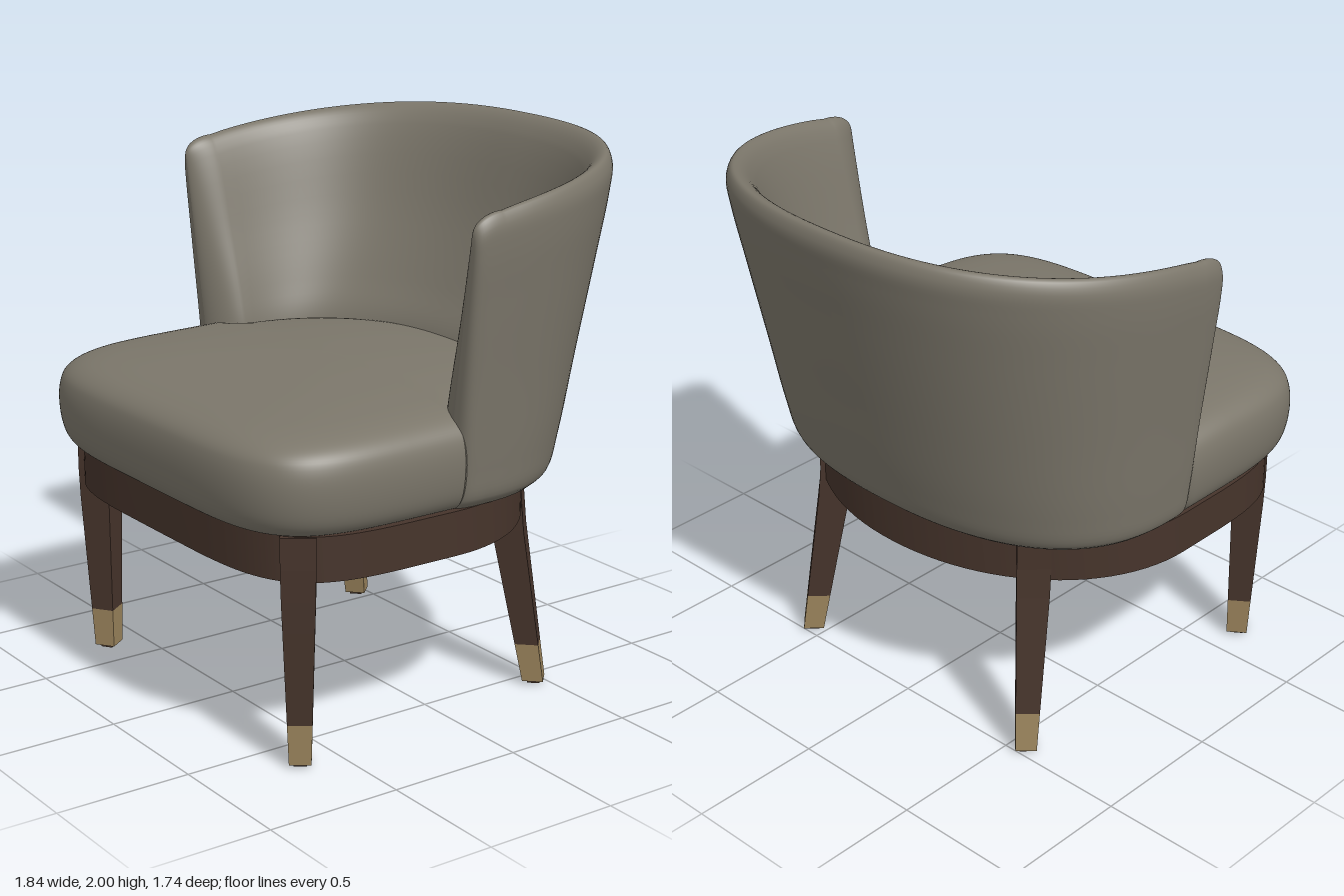
import * as THREE from 'three';
import { toCreasedNormals } from 'three/addons/utils/BufferGeometryUtils.js';

const fabric = new THREE.MeshStandardMaterial({ name: 'taupe fabric', color: 0x7b766a });
const wood = new THREE.MeshStandardMaterial({ name: 'dark wood', color: 0x46342b });
const brass = new THREE.MeshStandardMaterial({ name: 'brass', color: 0x9a835c });
const { lerp, clamp, smoothstep } = THREE.MathUtils;

const spow = (v, p) => Math.sign(v) * Math.pow(Math.abs(v), p);

function addMesh(parent, name, geometry, material) {
  const mesh = new THREE.Mesh(geometry, material);
  mesh.name = name;
  parent.add(mesh);
  return mesh;
}

// Smooth surface through rows of [x, y, z] points of equal length
function loft(rows) {
  const n = rows[0].length, index = [];
  for (let i = 0; i < rows.length - 1; i++) {
    for (let j = 0; j < n - 1; j++) {
      const a = i * n + j, b = a + n;
      index.push(a, b, a + 1, b, b + 1, a + 1);
    }
  }
  const g = new THREE.BufferGeometry();
  g.setAttribute('position', new THREE.Float32BufferAttribute(rows.flat(2), 3));
  g.setIndex(index);
  g.computeVertexNormals();
  return g;
}

// Plan outline: squarish front half, round back half, each [half width, depth, exponent]
function outline(t, front, back) {
  const c = Math.cos(t), s = Math.sin(t);
  const [a, b, n] = s >= 0 ? front : back;
  const width = s >= 0 ? a : lerp(front[0], a, Math.min(1, -s * 8));
  return [width * spow(c, 2 / n), b * spow(s, 2 / n)];
}

// Cushion: stacked outlines closing to a gentle crown that falls towards the front
function seatGeometry() {
  const profile = new THREE.CatmullRomCurve3([
    [0.9, 0.84], [0.945, 0.85], [0.98, 0.89], [1, 0.97], [0.998, 1.06], [0.975, 1.118],
    [0.93, 1.156], [0.85, 1.183], [0.65, 1.207], [0.35, 1.223], [0, 1.23],
  ].map(([s, y]) => new THREE.Vector3(s, y, 0))).getPoints(50);
  return loft(profile.map((p) => {
    const row = [];
    const tilt = 0.03 * Math.max(0, (p.y - 1.1) / 0.13);
    for (let k = 0; k <= 128; k++) {
      const [x, dz] = outline((k / 128) * Math.PI * 2, [0.84, 0.77, 4.9], [0.75, 0.68, 2.2]);
      const z = 0.1 + dz * p.x;
      row.push([x * p.x, p.y - tilt * z, z]);
    }
    return row;
  }));
}

// Wraparound back: a closed wall section (half width, depth, height) swept around the plan
function backGeometry() {
  const section = new THREE.CatmullRomCurve3([
    [0.79, 0.56, 0.84], [0.825, 0.605, 0.88], [0.842, 0.645, 1.0], [0.867, 0.72, 1.3],
    [0.9, 0.805, 1.65], [0.918, 0.855, 1.86], [0.916, 0.87, 1.95], [0.895, 0.852, 1.995],
    [0.865, 0.815, 1.985], [0.83, 0.765, 1.92], [0.745, 0.65, 1.6], [0.68, 0.525, 1.35],
    [0.65, 0.435, 1.2], [0.64, 0.41, 1.05], [0.64, 0.41, 0.84],
  ].map((p) => new THREE.Vector3(...p))).getPoints(70);
  section.push(section[0]);

  const n = 2.4;
  const station = (phi, ext) => {
    const sin = Math.max(0, Math.sin(phi));
    const drop = 0.07 * (1 - Math.sqrt(Math.max(0, 1 - ext * ext)));
    const rim = 1.88 + 0.12 * Math.pow(sin, 0.72) - drop;
    return section.map((p, j) => {
      // tight rounding on the outer edge, generous rounding inside
      const inside = smoothstep((j % (section.length - 1)) / section.length, 0.4, 0.65);
      const e = lerp(3.5, 1.6, inside);
      const k = Math.pow(Math.max(0, 1 - Math.pow(ext, e)), 1 / e);
      const a = lerp(0.73 + 0.13 * (p.z - 0.84), p.x, k);
      const y = 0.84 + (p.z - 0.84) * (rim - 0.84) / 1.16;
      const reach = 0.1 + 0.015 * (p.z - 0.84);
      return [a * spow(Math.cos(phi), 2 / n), y, ext * reach - p.y * Math.pow(sin, 2 / n)];
    });
  };
  const rows = [];
  // rounded arm tips at both ends of the sweep
  for (let i = 0; i < 14; i++) rows.push(station(0, Math.cos((i / 14) * Math.PI / 2)));
  for (let i = 0; i <= 72; i++) rows.push(station((i / 72) * Math.PI, 0));
  for (let i = 1; i <= 14; i++) rows.push(station(Math.PI, Math.sin((i / 14) * Math.PI / 2)));
  return loft(rows);
}

// Base rail under the cushion
function railGeometry() {
  const pts = [];
  for (let k = 0; k < 96; k++) {
    const [x, z] = outline((k / 96) * Math.PI * 2, [0.8, 0.7, 4.5], [0.8, 0.66, 2.05]);
    pts.push(new THREE.Vector2(x, -(z + 0.1)));
  }
  const g = new THREE.ExtrudeGeometry(new THREE.Shape(pts), { depth: 0.16, bevelEnabled: false });
  g.rotateX(-Math.PI / 2).translate(0, 0.68, 0);
  return toCreasedNormals(g, 0.6);
}

// Slice of a tapered, turned square leg between two heights
function legSlice(spec, y0, y1, scale = 1) {
  const g = new THREE.BoxGeometry(2, 1, 2, 1, 6, 1).toNonIndexed();
  const pos = g.attributes.position;
  const c = Math.cos(spec.yaw), s = Math.sin(spec.yaw);
  for (let i = 0; i < pos.count; i++) {
    const y = lerp(y0, y1, pos.getY(i) + 0.5);
    const t = clamp(y / 0.68, 0, 1);
    const half = lerp(0.038, 0.06, t) * scale;
    const x = pos.getX(i) * half, z = pos.getZ(i) * half;
    pos.setXYZ(i,
      lerp(spec.foot[0], spec.top[0], t) + x * c + z * s, y,
      lerp(spec.foot[1], spec.top[1], t) - x * s + z * c);
  }
  g.computeVertexNormals();
  return g;
}

export function createModel() {
  const model = new THREE.Group();
  model.name = 'barrelChair';
  addMesh(model, 'seatCushion', seatGeometry(), fabric);
  addMesh(model, 'wraparoundBack', backGeometry(), fabric);
  addMesh(model, 'baseRail', railGeometry(), wood);

  const legs = [
    { name: 'FrontLeg', top: [0.66, 0.655], foot: [0.65, 0.645], yaw: 0.95 },
    { name: 'RearLeg', top: [0.5, -0.36], foot: [0.56, -0.46], yaw: 0.8 },
  ];
  for (const spec of legs) {
    for (const side of [1, -1]) {
      const leg = new THREE.Group();
      leg.name = (side > 0 ? 'left' : 'right') + spec.name;
      // mirrored placement and turn for the right side
      const s = {
        top: [spec.top[0] * side, spec.top[1]],
        foot: [spec.foot[0] * side, spec.foot[1]],
        yaw: spec.yaw * side,
      };
      addMesh(leg, 'legWood', legSlice(s, 0.16, 0.838), wood);
      addMesh(leg, 'legCap', legSlice(s, 0.012, 0.16), brass);
      addMesh(leg, 'footGlide', legSlice(s, 0, 0.012, 0.6), wood);
      model.add(leg);
    }
  }
  return model;
}
